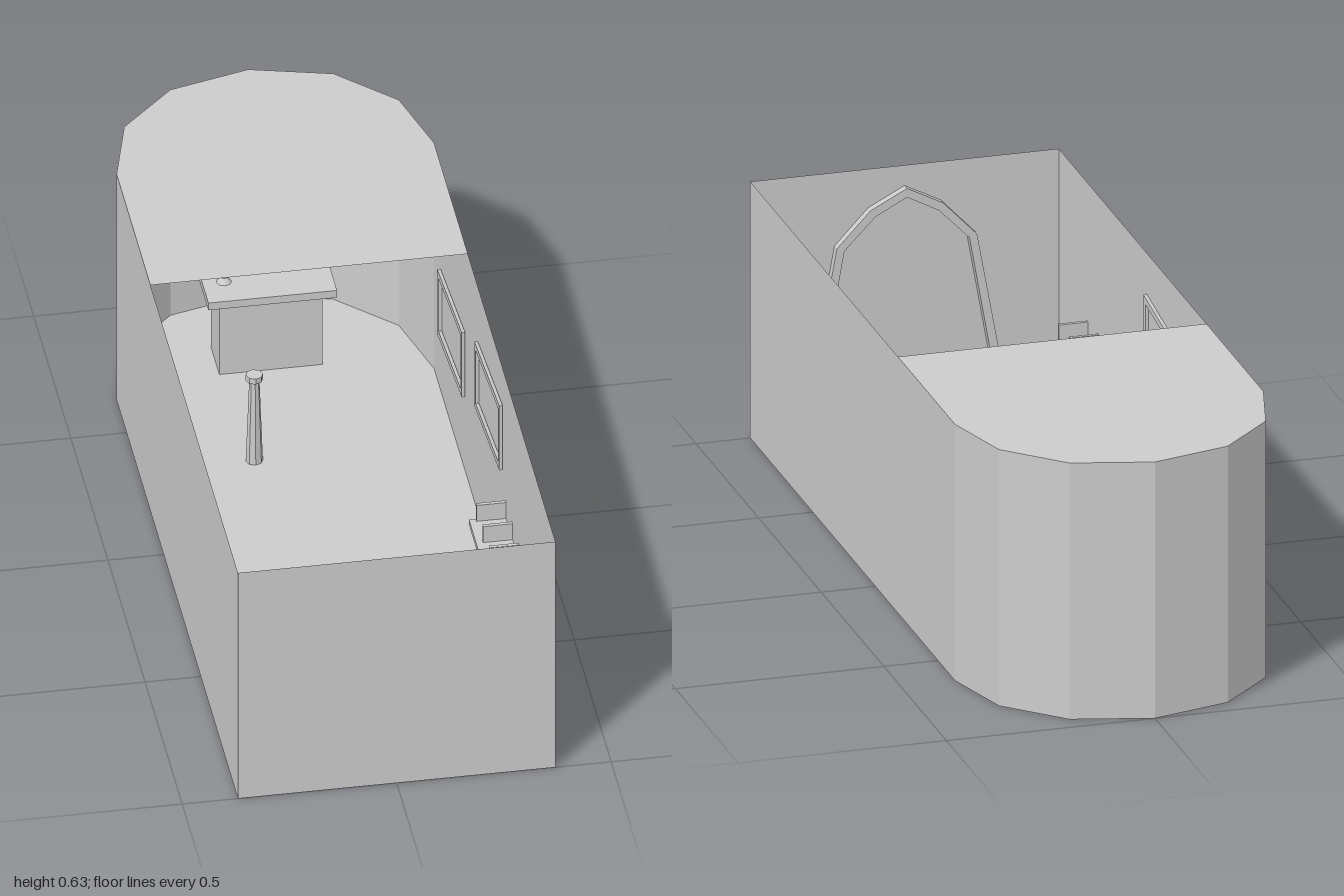
import * as THREE from 'three';

const H = 0.63, W = 0.37;
const mat = new THREE.MeshStandardMaterial({ color: 0xcccccc, flatShading: true, side: THREE.DoubleSide });

function add(parent, name, geometry, x = 0, y = 0, z = 0) {
  const mesh = new THREE.Mesh(geometry, mat);
  mesh.name = name;
  mesh.position.set(x, y, z);
  parent.add(mesh);
  return mesh;
}

const toPoints = (list) => list.map(([x, y]) => new THREE.Vector2(x, y));

// Flat sheet lying in the x/z plane
const sheet = (shape) => new THREE.ShapeGeometry(shape).rotateX(Math.PI / 2);

// Closed band: outer outline with an inner opening, extruded
function band(outer, inner, depth) {
  const shape = new THREE.Shape(toPoints(outer));
  shape.holes.push(new THREE.Path(toPoints(inner)));
  return new THREE.ExtrudeGeometry(shape, { depth, bevelEnabled: false });
}

// Slanted wall frame outline in (z, y)
const slanted = (z0, z1, topAtZ1, height, slope, inset) => {
  const y = (z, v) => topAtZ1 - slope * (z1 - z) - v;
  const a = z0 + inset, b = z1 - inset;
  return [[a, y(a, height - inset)], [b, y(b, height - inset)], [b, y(b, inset)], [a, y(a, inset)]];
};

export function createModel() {
  const model = new THREE.Group();
  model.name = 'chapel';

  // Rounded apse end, shared by floor, walls and roof
  const apse = [[W, -0.635], [0.32, -0.82], [0.19, -0.95], [0, -1], [-0.19, -0.95], [-0.32, -0.82], [-W, -0.635]];
  const outline = [[W, 1], ...apse, [-W, 1]];

  // Floor with a ten-sided opening
  const floorShape = new THREE.Shape(toPoints(outline));
  const hole = [];
  for (let i = 0; i < 10; i++) {
    const a = (i / 10) * Math.PI * 2;
    hole.push([0.18 * Math.cos(a), 0.55 + 0.18 * Math.sin(a)]);
  }
  floorShape.holes.push(new THREE.Path(toPoints(hole)));
  add(model, 'floor', sheet(floorShape));

  // Thin walls, one panel per outline edge
  const walls = new THREE.Group();
  walls.name = 'walls';
  model.add(walls);
  outline.forEach(([x0, z0], i) => {
    const [x1, z1] = outline[(i + 1) % outline.length];
    const wall = add(walls, 'wallPanel', new THREE.PlaneGeometry(Math.hypot(x1 - x0, z1 - z0), H),
      (x0 + x1) / 2, H / 2, (z0 + z1) / 2);
    wall.rotation.y = Math.atan2(-(z1 - z0), x1 - x0);
  });

  // Roof over the rear half
  add(model, 'roof', sheet(new THREE.Shape(toPoints([[W, -0.18], ...apse, [-W, -0.18]]))), 0, H, 0);

  // Arched door surround inside the front wall
  add(model, 'doorArch', band(
    [[-0.25, 0], [-0.168, 0.45], [-0.087, 0.535], [0, 0.58], [0.087, 0.535], [0.168, 0.45], [0.25, 0]],
    [[-0.228, 0.001], [-0.15, 0.442], [-0.076, 0.518], [0, 0.558], [0.076, 0.518], [0.15, 0.442], [0.228, 0.001]],
    0.02), 0, 0, 0.98);

  for (const side of [1, -1]) {
    const group = new THREE.Group();
    group.name = side > 0 ? 'leftSide' : 'rightSide';
    model.add(group);

    // Slanted picture frames
    for (const [z0, z1, top] of [[-0.04, 0.295, 0.53], [-0.54, -0.21, 0.39]]) {
      const geometry = band(slanted(z0, z1, top, 0.18, 0.145, 0), slanted(z0, z1, top, 0.18, 0.145, 0.016), 0.008);
      geometry.rotateY(-Math.PI / 2);
      add(group, 'pictureFrame', geometry, side > 0 ? W - 0.001 : -W + 0.009, 0, 0);
    }

    // Wall bench with upright dividers and supports
    add(group, 'bench', new THREE.BoxGeometry(0.085, 0.014, 0.445), side * 0.327, 0.238, 0.5525);
    for (let i = 0; i < 6; i++) {
      add(group, 'benchDivider', new THREE.BoxGeometry(0.069, 0.045, 0.009), side * 0.335, 0.267, 0.335 + i * 0.087);
    }
    for (const z of [0.455, 0.554, 0.65]) {
      add(group, 'benchSupport', new THREE.BoxGeometry(0.08, 0.231, 0.01), side * 0.329, 0.1155, z);
    }
  }

  // Altar with a chalice in the apse
  const altar = new THREE.Group();
  altar.name = 'altar';
  altar.position.z = -0.75;
  model.add(altar);
  add(altar, 'altarTop', new THREE.BoxGeometry(0.3, 0.02, 0.16), 0, 0.21, 0);
  add(altar, 'altarBase', new THREE.BoxGeometry(0.24, 0.2, 0.11), 0, 0.1, 0);
  const cup = toPoints([[0, 0], [0.018, 0], [0.006, 0.012], [0.006, 0.04], [0.022, 0.055], [0.022, 0.07], [0, 0.07]]);
  add(altar, 'chalice', new THREE.LatheGeometry(cup, 8), -0.1, 0.22, 0);

  // Small stand in front of the altar
  add(model, 'standPost', new THREE.CylinderGeometry(0.012, 0.02, 0.225, 8), -0.1, 0.1125, -0.34);
  add(model, 'standTop', new THREE.CylinderGeometry(0.02, 0.02, 0.015, 8), -0.1, 0.2325, -0.34);

  return model;
}
